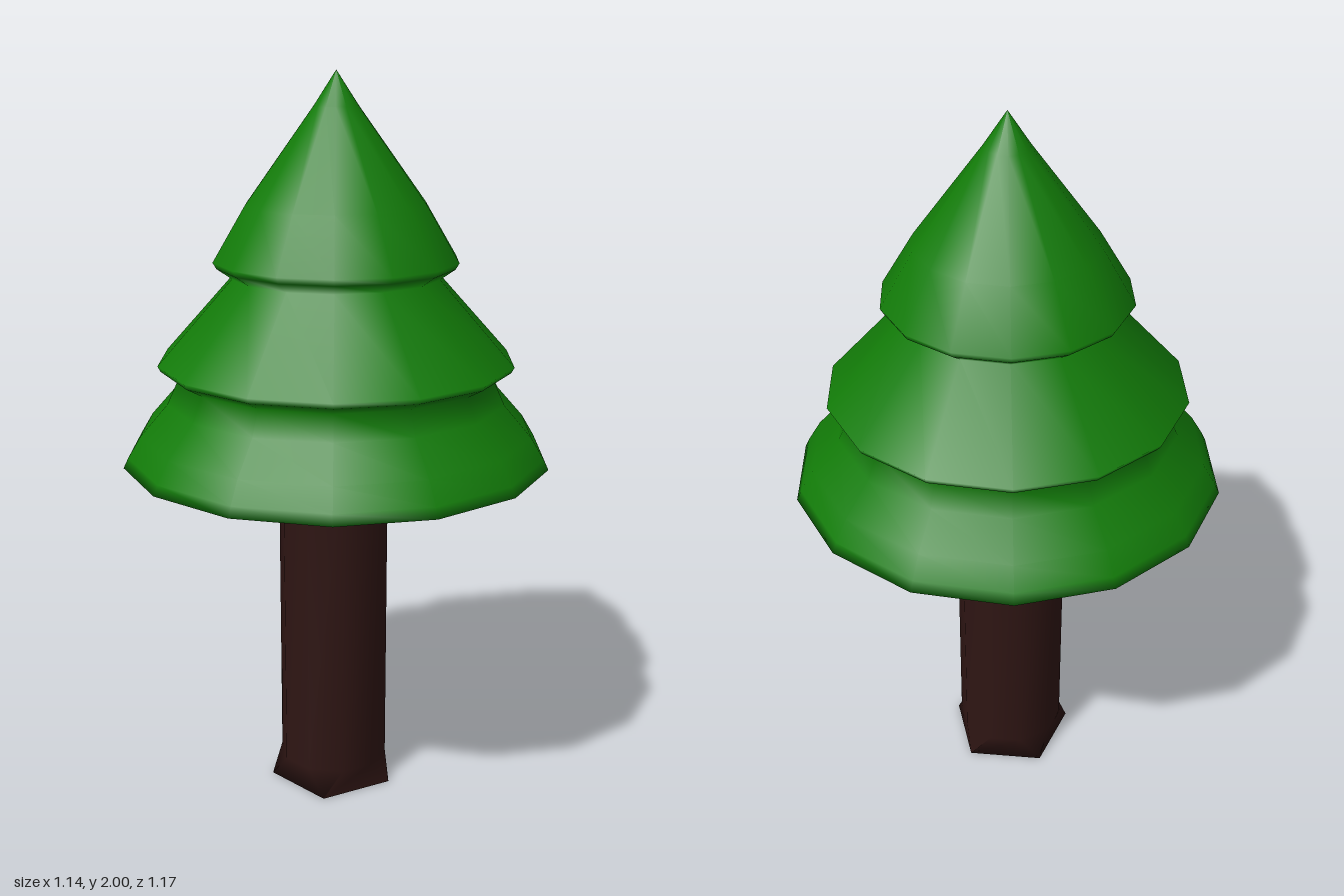
import * as THREE from 'three';

const paint = (color) => new THREE.MeshStandardMaterial({ color });

// Pentagon outline whose corners are cut off at a distance along each edge
function cutPentagon(radius, cut, y) {
  const corner = (k) => {
    const a = (k * Math.PI * 2) / 5;
    return new THREE.Vector3(Math.cos(a) * radius, y, Math.sin(a) * radius);
  };
  const side = 2 * radius * Math.sin(Math.PI / 5);
  const ring = [];
  for (let k = 0; k < 5; k++) {
    ring.push(corner(k).lerp(corner(k - 1), cut / side));
    ring.push(corner(k).lerp(corner(k + 1), cut / side));
  }
  return ring;
}

// Smooth closed solid through a stack of equal-length rings, bottom to top
function loft(rings) {
  const n = rings[0].length;
  const top = (rings.length - 1) * n;
  const index = [];
  for (let r = 0; r < top; r += n) {
    for (let i = 0; i < n; i++) {
      const a = r + i;
      const b = r + ((i + 1) % n);
      index.push(a, a + n, b, b, a + n, b + n);
    }
  }
  for (let i = 1; i < n - 1; i++) {
    index.push(0, i, i + 1, top, top + i + 1, top + i);
  }
  const geometry = new THREE.BufferGeometry().setFromPoints(rings.flat());
  geometry.setIndex(index);
  geometry.computeVertexNormals();
  return geometry;
}

export function createModel() {
  const tree = new THREE.Group();
  tree.name = 'tree';

  // Trunk: five-sided post, corners shaved between the two ends
  const trunk = new THREE.Mesh(
    loft([
      cutPentagon(0.18, 0.002, 0),
      cutPentagon(0.18, 0.06, 0.07),
      cutPentagon(0.18, 0.06, 0.94),
      cutPentagon(0.18, 0.002, 0.985),
    ]),
    paint(0x2e1513)
  );
  trunk.name = 'trunk';
  trunk.position.x = -0.01;
  tree.add(trunk);

  // Foliage: hollow three-tier shell, inside wall down, then outside wall up
  const profile = [
    [0, 1.93], [0.2, 1.64], [0.285, 1.52], [0.245, 1.47],
    [0.435, 1.255], [0.4, 1.21], [0.42, 1.13], [0.49, 1.04], [0.535, 0.97],
    [0.583, 0.97], [0.57, 0.997], [0.535, 1.055], [0.46, 1.14], [0.43, 1.205],
    [0.475, 1.23], [0.483, 1.245], [0.28, 1.47],
    [0.32, 1.498], [0.33, 1.515], [0.243, 1.66], [0.06, 1.91], [0, 2],
  ].map(([r, y]) => new THREE.Vector2(r, y));
  const foliage = new THREE.Mesh(new THREE.LatheGeometry(profile, 14), paint(0x127c08));
  foliage.name = 'foliage';
  tree.add(foliage);

  return tree;
}
